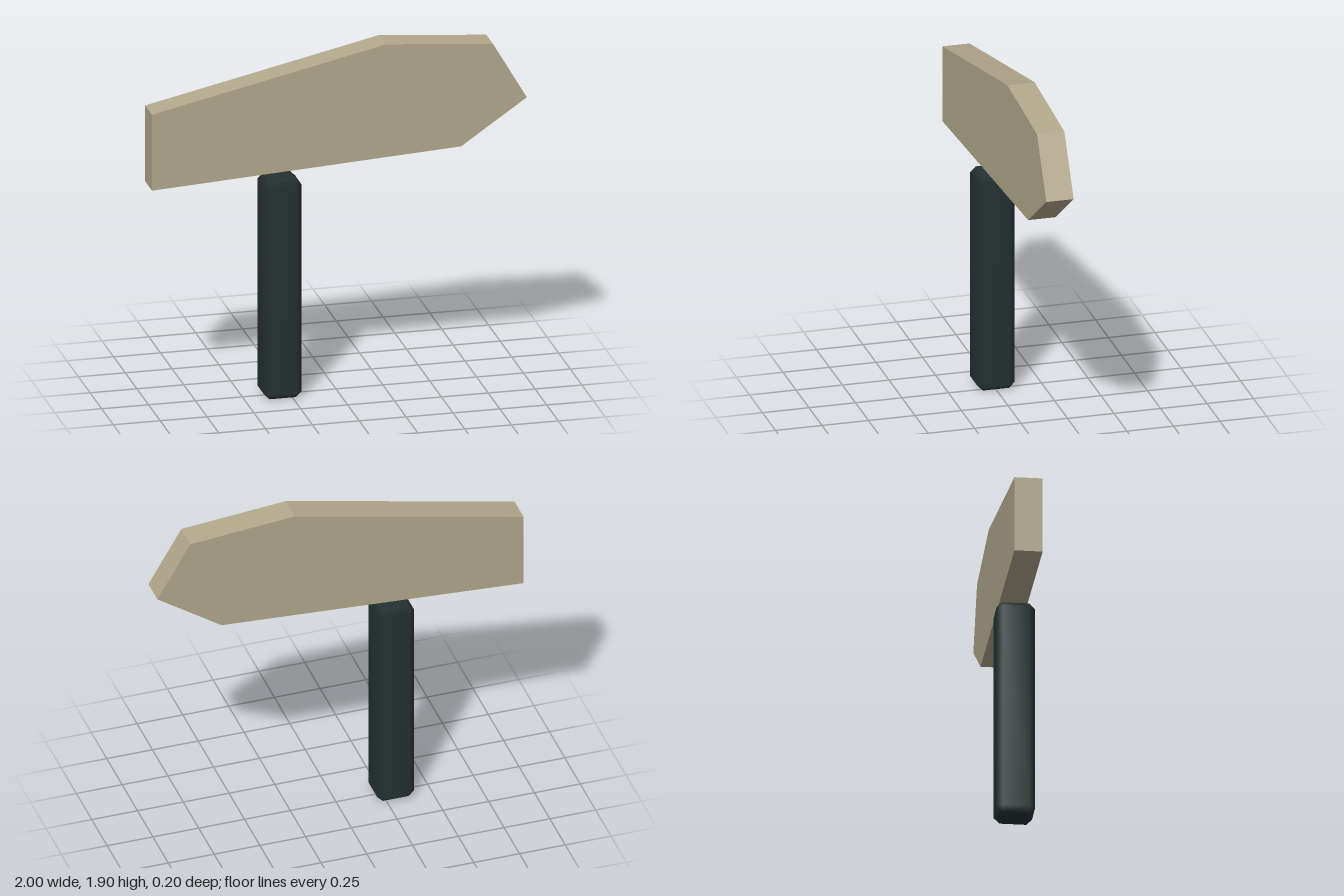
import * as THREE from 'three';
import { ConvexGeometry } from 'three/addons/geometries/ConvexGeometry.js';
import { mergeVertices } from 'three/addons/utils/BufferGeometryUtils.js';

const sandPaint = new THREE.MeshStandardMaterial({ color: 0xb3a98d });
sandPaint.name = 'sandPaint';
const darkPost = new THREE.MeshStandardMaterial({ color: 0x243231 });
darkPost.name = 'darkPost';

// Box with every edge chamfered, shaded smoothly across the chamfers
function chamferedBox(width, height, depth, c) {
  const half = [width / 2, height / 2, depth / 2];
  const points = [];
  for (const sx of [-1, 1]) for (const sy of [-1, 1]) for (const sz of [-1, 1]) {
    for (let outer = 0; outer < 3; outer++) {
      const [x, y, z] = half.map((h, axis) => (axis === outer ? h : h - c));
      points.push(new THREE.Vector3(sx * x, sy * y, sz * z));
    }
  }
  const hull = new ConvexGeometry(points);
  hull.deleteAttribute('normal');
  const geometry = mergeVertices(hull, 1e-4);
  geometry.computeVertexNormals();
  return geometry;
}

export function createModel() {
  const group = new THREE.Group();
  group.name = 'signpost';

  // Pointed sign board
  const depth = 0.147;
  const outline = new THREE.Shape([
    [-1, 1.205], [0.65, 1.305], [1, 1.545], [0.82, 1.853], [0.25, 1.902], [-1, 1.623],
  ].map(([x, y]) => new THREE.Vector2(x, y)));
  const boardGeometry = new THREE.ExtrudeGeometry(outline, { depth, bevelEnabled: false });
  boardGeometry.translate(0, 0, -depth / 2);
  const board = new THREE.Mesh(boardGeometry, sandPaint);
  board.name = 'signBoard';

  // Upright post
  const post = new THREE.Mesh(chamferedBox(0.2, 1.2, 0.2, 0.03), darkPost);
  post.name = 'post';
  post.position.set(-0.302, 0.6, 0);

  group.add(board, post);
  return group;
}
